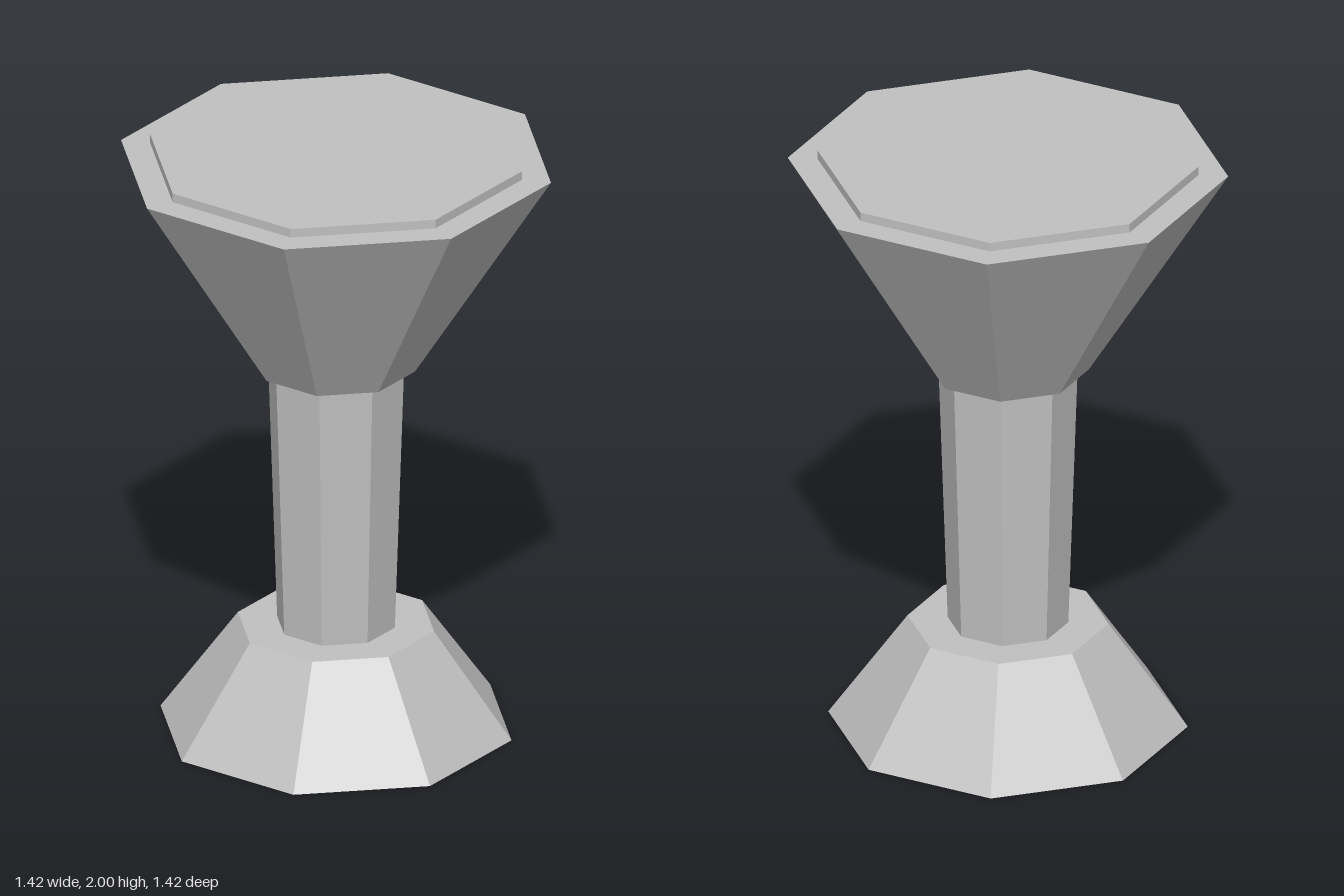
import * as THREE from 'three';

const SIDES = 8;

export function createModel() {
  const group = new THREE.Group();
  const grey = new THREE.MeshStandardMaterial({ color: 0xc0c0c0 });
  grey.name = 'stone grey';
  grey.flatShading = true;

  // Stacked octagonal frustums: name, bottom y, top y, bottom radius, top radius
  const parts = [
    ['base', 0, 0.355, 0.578, 0.323],
    ['stem', 0.355, 1.26, 0.194, 0.224],
    ['flaredBowl', 1.26, 1.97, 0.26, 0.708],
    ['topPlate', 1.97, 2, 0.612, 0.612],
  ];

  for (const [name, y0, y1, r0, r1] of parts) {
    const geometry = new THREE.CylinderGeometry(r1, r0, y1 - y0, SIDES);
    const mesh = new THREE.Mesh(geometry, grey);
    mesh.name = name;
    mesh.position.y = (y0 + y1) / 2;
    group.add(mesh);
  }
  return group;
}
